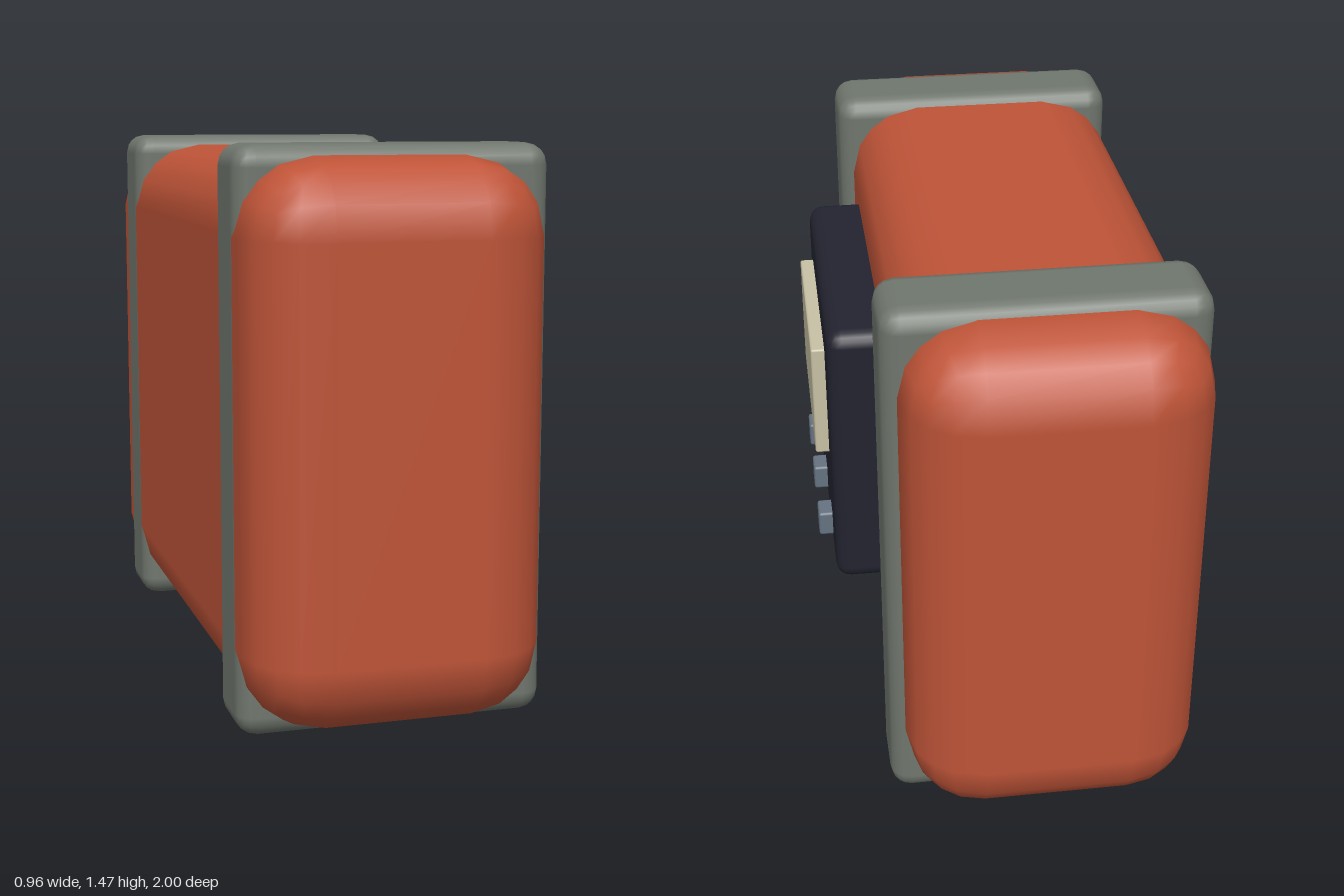
import * as THREE from 'three';
import { RoundedBoxGeometry } from 'three/addons/geometries/RoundedBoxGeometry.js';

const material = (name, color) => {
  const m = new THREE.MeshStandardMaterial({ color });
  m.name = name;
  return m;
};

export function createModel() {
  const red = material('rust red', 0xbf5438);
  const grey = material('strap grey', 0x70776e);
  const navy = material('panel navy', 0x232330);
  const cream = material('screen cream', 0xc8c1a5);
  const steel = material('button steel', 0x667382);

  const model = new THREE.Group();
  model.name = 'bandedCase';

  // Rounded block given by its lower and upper corners
  function block(name, mat, min, max, radius, segments = 2) {
    const [w, h, d] = max.map((v, i) => v - min[i]);
    const mesh = new THREE.Mesh(new RoundedBoxGeometry(w, h, d, segments, radius), mat);
    mesh.position.set(...max.map((v, i) => (v + min[i]) / 2));
    mesh.name = name;
    model.add(mesh);
  }

  // Case with broad soft corners
  block('caseBody', red, [-0.48, 0.03, -1], [0.29, 1.445, 1], 0.195);

  // Bands around both ends, just proud of the back
  for (const [name, z] of [['frontStrap', 0.68], ['rearStrap', -0.68]]) {
    block(name, grey, [-0.482, 0, z - 0.119], [0.33, 1.473, z + 0.119], 0.055);
  }

  // Control panel with its screen
  block('controlPanel', navy, [0.24, 0.45, -0.42], [0.437, 1.222, 0.42], 0.04);
  block('screen', cream, [0.42, 0.785, -0.276], [0.474, 1.107, 0.276], 0.006, 1);

  // Row of three buttons
  for (const z of [-0.24, 0, 0.24]) {
    block('button', steel, [0.42, 0.51, z - 0.037], [0.476, 0.582, z + 0.037], 0.007, 1);
  }

  return model;
}
